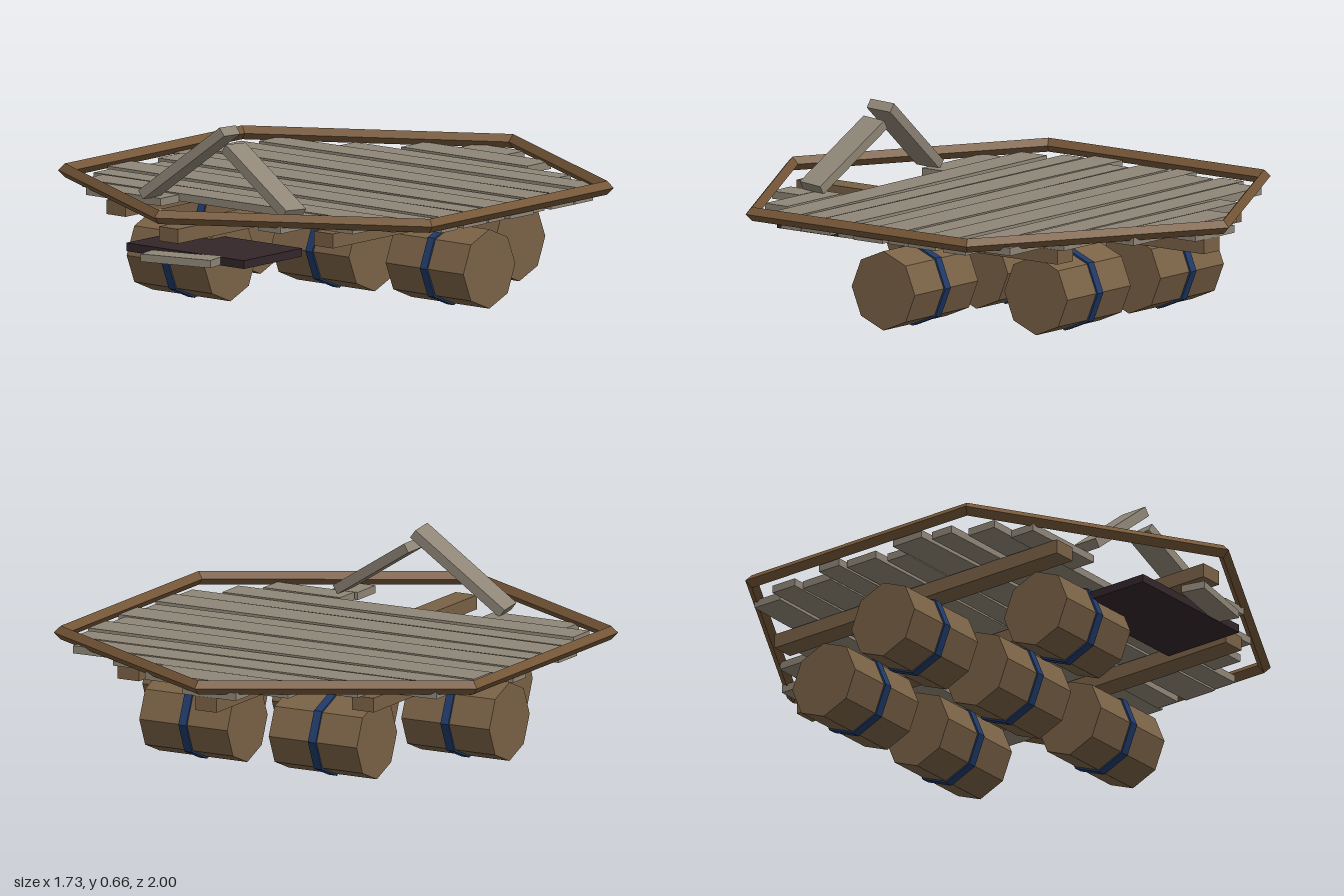
import * as THREE from 'three';

const mat = (name, color) => {
  const m = new THREE.MeshStandardMaterial({ color });
  m.name = name;
  return m;
};

export function createModel() {
  const root = new THREE.Group();
  root.name = 'barrelRaft';
  const plankGray = mat('weathered plank', 0x8f8677);
  const wood = mat('brown wood', 0x7a6246);
  const rimWood = mat('rim wood', 0x755637);
  const bandBlue = mat('blue band', 0x203a68);
  const dark = mat('dark hatch', 0x33262a);

  const add = (name, geo, material, parent = root) => {
    const flat = geo.index ? geo.toNonIndexed() : geo;
    flat.computeVertexNormals(); // faceted look
    const mesh = new THREE.Mesh(flat, material);
    mesh.name = name;
    parent.add(mesh);
    return mesh;
  };
  const box = (name, size, pos, material, parent) => {
    const mesh = add(name, new THREE.BoxGeometry(...size), material, parent);
    mesh.position.set(...pos);
    return mesh;
  };

  // Barrels lying along x, each with one band; the front left place is empty
  const spots = [[-0.53, 0], [0, 0], [0.53, 0], [-0.265, -0.48], [0.265, -0.48], [-0.265, 0.48]];
  for (const [x, z] of spots) {
    const barrel = new THREE.Group();
    barrel.name = 'barrel';
    barrel.position.set(x, 0.15, z);
    add('barrelBody', new THREE.CylinderGeometry(0.143, 0.143, 0.36, 8).rotateZ(Math.PI / 2), wood, barrel);
    add('barrelBand', new THREE.CylinderGeometry(0.15, 0.15, 0.032, 8).rotateZ(Math.PI / 2), bandBlue, barrel);
    root.add(barrel);
  }

  // Joists running front to back
  for (const [x, half] of [[-0.48, 0.64], [0, 0.922], [0.48, 0.64]])
    box('joist', [0.088, 0.052, half * 2], [x, 0.318, 0], wood);

  // Deck planks: x start, x end, z centre, width, yaw
  const planks = [
    [-0.125, 0.095, -0.875, 0.1, 0],
    [-0.275, 0.31, -0.75, 0.13, 0],
    [-0.475, 0.525, -0.625, 0.09, 0],
    [-0.735, 0.735, -0.52, 0.115, 0.02],
    [-0.8, 0.81, -0.39, 0.1, 0.014],
    [-0.755, 0.825, -0.265, 0.125, 0],
    [-0.835, 0.805, -0.145, 0.09, 0],
    [-0.795, 0.835, -0.03, 0.13, 0],
    [-0.755, 0.81, 0.09, 0.09, 0.014],
    [-0.83, 0.825, 0.21, 0.13, -0.005],
    [-0.8, 0.81, 0.338, 0.09, 0],
    [-0.735, 0.69, 0.455, 0.115, 0.015],
    [-0.635, -0.29, 0.57, 0.1, 0],
    [0.285, 0.6, 0.572, 0.1, 0],
    [0.28, 0.385, 0.7, 0.125, 0],
  ];
  planks.forEach(([a, b, z, w, yaw], i) => {
    const y = 0.359 + (i % 2) * 0.004;
    box('deckPlank', [b - a, 0.028, w], [(a + b) / 2, y, z], plankGray).rotation.y = yaw;
  });

  // Hexagonal rim with a diamond section, points to front and back
  add('rim', new THREE.TorusGeometry(0.975, 0.025, 4, 6).rotateX(Math.PI / 2).rotateY(Math.PI / 2), rimWood)
    .position.y = 0.39;

  // Dark board below the gap in the deck, with a broken plank beside it
  box('hatchBoard', [0.545, 0.03, 0.32], [0, 0.23, 0.67], dark);
  box('fallenPlank', [0.28, 0.028, 0.09], [0.033, 0.231, 0.89], plankGray).rotation.y = 0.22;

  // Broken planks sticking up from the gap
  const prop = (p, q) => {
    const a = new THREE.Vector3(...p), b = new THREE.Vector3(...q);
    const ux = b.clone().sub(a).normalize();
    const uz = new THREE.Vector3(0, 0, 1).addScaledVector(ux, -ux.z).normalize();
    const uy = uz.clone().cross(ux);
    const mesh = box('brokenPlank', [a.distanceTo(b), 0.036, 0.1], a.clone().add(b).multiplyScalar(0.5).toArray(), plankGray);
    mesh.quaternion.setFromRotationMatrix(new THREE.Matrix4().makeBasis(ux, uy, uz));
  };
  prop([-0.342, 0.385, 0.625], [-0.003, 0.645, 0.58]);
  prop([0.018, 0.588, 0.585], [0.332, 0.392, 0.625]);

  return root;
}
